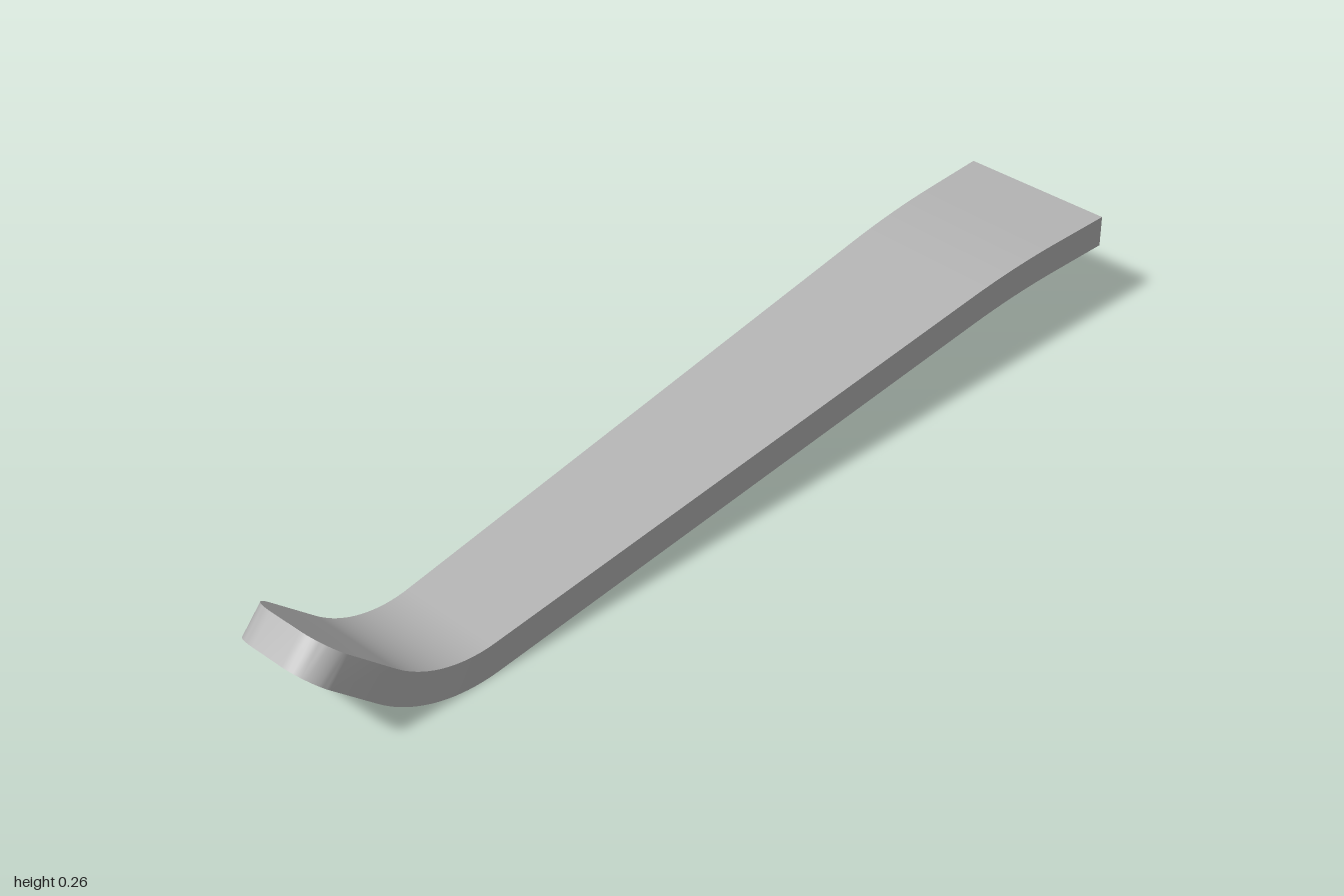
import * as THREE from 'three';
import { toCreasedNormals } from 'three/addons/utils/BufferGeometryUtils.js';

const THICKNESS = 0.065;
const SLOPE = THREE.MathUtils.degToRad(-7);
const TIP = THREE.MathUtils.degToRad(42);
const CORNER = 0.06; // corner radius of the upturned tip

// Centre line stations {z, y, a}; a is the pitch of the strip
function centreLine() {
  const stations = [{ z: -1, y: 0.199, a: 0 }];
  const arc = (cz, cy, r, a0, a1, steps) => {
    for (let i = 0; i <= steps; i++) {
      const a = a0 + ((a1 - a0) * i) / steps;
      stations.push({ z: cz + r * Math.sin(a), y: cy - r * Math.cos(a), a });
    }
  };
  // gentle bend leaving the flat end (centre lies below the strip)
  arc(-0.858, 0.199 - 2.0, -2.0, 0, SLOPE, 8);
  // tight upward bend near the tip
  arc(0.64, 0.333, 0.3005, SLOPE, TIP, 20);
  // straight tip, with stations bunched along its rounded corners
  const last = stations[stations.length - 1];
  const endZ = 1 - (THICKNESS / 2) * Math.sin(TIP);
  const length = (endZ - last.z) / Math.cos(TIP);
  const steps = 12;
  for (let i = 0; i <= steps; i++) {
    const t = (i / steps) * (Math.PI / 2);
    const s = length - CORNER * (1 - Math.sin(t));
    stations.push({
      z: last.z + s * Math.cos(TIP),
      y: last.y + s * Math.sin(TIP),
      a: TIP,
      inset: CORNER * (1 - Math.cos(t)),
    });
  }
  return stations;
}

// Tapering rectangular section swept along the centre line
function stripGeometry() {
  const stations = centreLine();
  const positions = [];
  const index = [];
  for (const { z, y, a, inset = 0 } of stations) {
    const half = 0.1295 - 0.0335 * z - inset;
    for (const [sx, sn] of [[1, 1], [-1, 1], [-1, -1], [1, -1]]) {
      const n = (sn * THICKNESS) / 2;
      positions.push(sx * half, y + n * Math.cos(a), z - n * Math.sin(a));
    }
  }
  for (let i = 0; i < stations.length - 1; i++) {
    for (let k = 0; k < 4; k++) {
      const p = i * 4 + k;
      const q = i * 4 + ((k + 1) % 4);
      index.push(p, q, p + 4, q, q + 4, p + 4);
    }
  }
  // end faces
  const e = (stations.length - 1) * 4;
  index.push(e, e + 1, e + 2, e, e + 2, e + 3, 0, 2, 1, 0, 3, 2);

  const geometry = new THREE.BufferGeometry();
  geometry.setAttribute('position', new THREE.Float32BufferAttribute(positions, 3));
  geometry.setIndex(index);
  return toCreasedNormals(geometry, 0.5);
}

export function createModel() {
  const grey = new THREE.MeshStandardMaterial({ color: 0xb4b4b4 });
  grey.name = 'plain grey';
  const strip = new THREE.Mesh(stripGeometry(), grey);
  strip.name = 'bentStrip';
  const group = new THREE.Group();
  group.name = 'bentLever';
  group.add(strip);
  return group;
}
